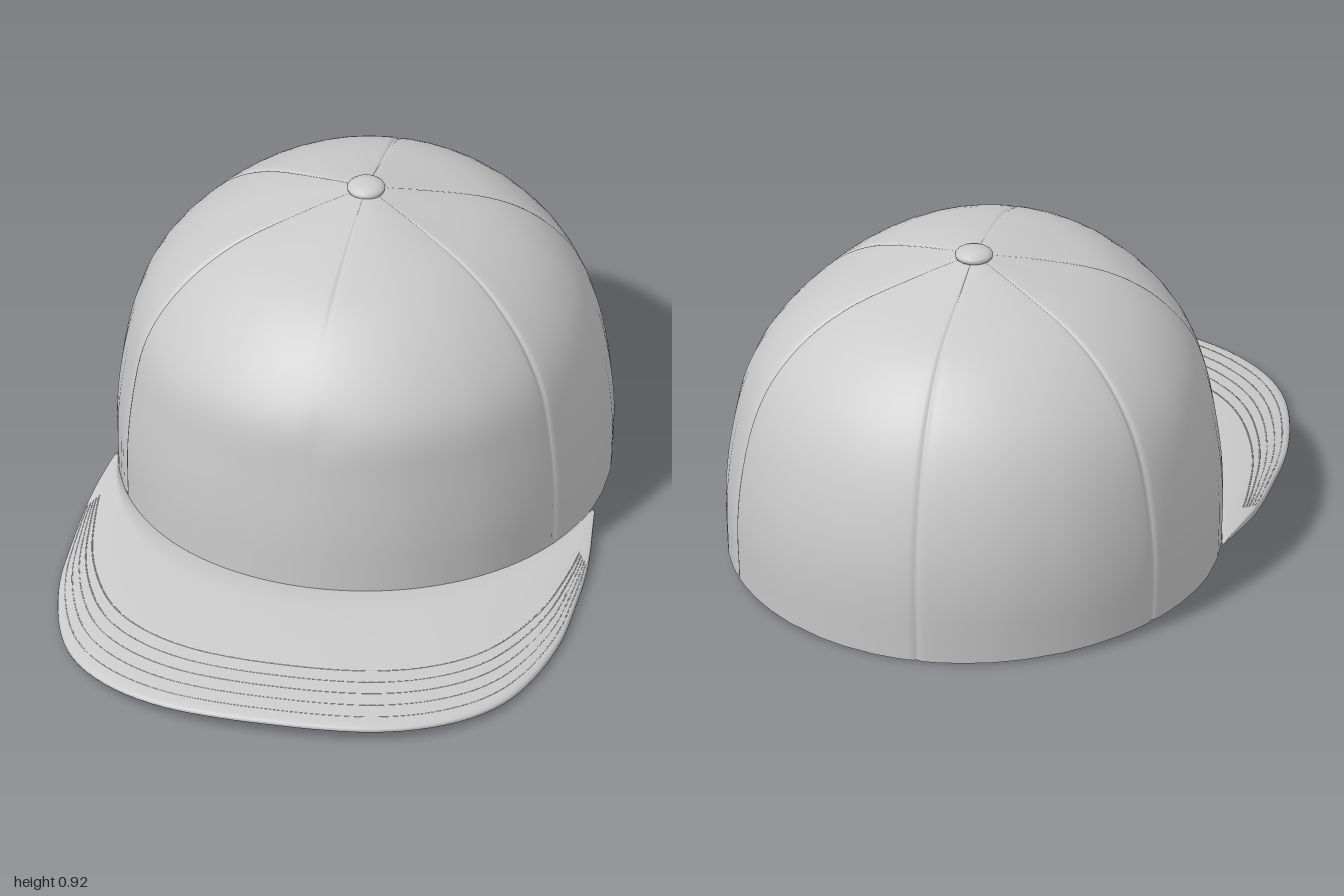
import * as THREE from 'three';
import { mergeVertices } from 'three/addons/utils/BufferGeometryUtils.js';

const APEX_Z = -0.32;
const curve = (pts) => new THREE.CatmullRomCurve3(pts.map(([a, b, c = 0]) => new THREE.Vector3(a, b, c)));

// Crown profiles from rim to apex: [radius, height]
const FRONT = curve([[0.725, 0.08], [0.725, 0.25], [0.715, 0.42], [0.7, 0.56], [0.66, 0.64], [0.57, 0.74], [0.45, 0.82], [0.24, 0.872], [0, 0.9]]);
const SIDE = curve([[0.66, 0.037], [0.662, 0.2], [0.645, 0.36], [0.61, 0.51], [0.56, 0.61], [0.47, 0.71], [0.345, 0.79], [0.18, 0.85], [0, 0.9]]);
const BACK = curve([[0.66, 0.004], [0.675, 0.2], [0.665, 0.35], [0.62, 0.52], [0.55, 0.65], [0.44, 0.76], [0.35, 0.808], [0.15, 0.862], [0, 0.9]]);

// Outer edge of the brim, seen from above: [x, 0, z], left half mirrored
const HALF = [[0.655, -0.18], [0.685, 0.05], [0.69, 0.25], [0.685, 0.42], [0.65, 0.6], [0.6, 0.73], [0.53, 0.825], [0.42, 0.91], [0.29, 0.965], [0.14, 0.99]];
const EDGE = curve([
  ...HALF.map(([x, z]) => [-x, 0, z]), [0, 0, 0.995],
  ...HALF.slice().reverse().map(([x, z]) => [x, 0, z]),
]);

// Smooth surface through a grid of points
function gridSurface(us, vs, point) {
  const pos = [], index = [], n = vs.length;
  us.forEach((u) => vs.forEach((v) => pos.push(...point(u, v).toArray())));
  for (let i = 0; i < us.length - 1; i++) {
    for (let j = 0; j < n - 1; j++) {
      const a = i * n + j, b = a + n;
      index.push(a, b, b + 1, a, b + 1, a + 1);
    }
  }
  let geo = new THREE.BufferGeometry();
  geo.setAttribute('position', new THREE.Float32BufferAttribute(pos, 3));
  geo.setIndex(index);
  geo = mergeVertices(geo, 1e-5);
  geo.computeVertexNormals();
  return geo;
}

// Point on the crown without seams; angle 0 is the front, t runs rim to apex
function crownBase(angle, t) {
  const c = Math.cos(angle), s = Math.sin(angle);
  const p = SIDE.getPoint(t).multiplyScalar(s * s);
  p.addScaledVector((c > 0 ? FRONT : BACK).getPoint(t), c * c);
  return new THREE.Vector3(p.x * s, p.y, APEX_Z + p.x * c);
}

// Six panels: a narrow groove on every seam and a faint bulge between them
function crownPoint(k, t) {
  const panel = Math.round(k), f = Math.abs(k - panel);
  const p = crownBase((k * Math.PI) / 3, t);
  let groove = 0.009 * Math.exp(-((f / 0.014) ** 2));
  if (panel % 6 === 0) groove *= THREE.MathUtils.smoothstep(t, 0.66, 0.8); // plain front panel
  const bulge = 0.008 * Math.sin(Math.PI * f) * Math.sin(Math.PI * t);
  const dent = 0.01 * Math.exp(-(((p.x - 0.03) / 0.05) ** 2) - ((p.y - 0.56) / 0.07) ** 2) * (p.z > 0 ? 1 : 0);
  const scale = 1 + bulge - groove - dent;
  p.x *= scale;
  p.z = APEX_Z + (p.z - APEX_Z) * scale;
  p.y -= groove * 0.6 * t * (1 - t) * 4;
  return p;
}

// Middle layer of the brim: u runs right to left, v from crown to outer edge
function brimMid(u, v) {
  const inner = crownBase(u * 1.36, 0);
  const outer = EDGE.getPointAt((u + 1) / 2);
  outer.y = 0.047 - 0.034 * (outer.x / 0.69) ** 2 + 0.018 * THREE.MathUtils.smoothstep(Math.abs(u), 0.78, 1);
  inner.y -= 0.004;
  const p = inner.lerp(outer, v);
  p.y += 0.01 * Math.sin(Math.PI * v) * (1 - u * u);
  return p;
}
const brimHalf = (u) => 0.01 * Math.sqrt(Math.min(1, (1 - Math.abs(u)) * 8));

export function createModel() {
  const group = new THREE.Group();
  const mat = new THREE.MeshStandardMaterial({ color: 0xcccccc, side: THREE.DoubleSide });
  const add = (geo, name, parent = group) => {
    const mesh = new THREE.Mesh(geo, mat);
    mesh.name = name;
    parent.add(mesh);
    return mesh;
  };

  // Crown: samples crowd around the seams
  const steps = [0, 0.008, 0.016, 0.03, 0.08, 0.18, 0.3, 0.42, 0.58, 0.7, 0.82, 0.92, 0.97, 0.984, 0.992];
  const ks = [];
  for (let i = 0; i < 6; i++) steps.forEach((s) => ks.push(i + s));
  ks.push(6);
  const ts = Array.from({ length: 41 }, (_, i) => i / 40);
  add(gridSurface(ks, ts, crownPoint), 'crown');

  // Brim: closed section with a rounded lip, [v, offset]
  const top = [[1, 0], [0.995, 0.55], [0.98, 0.85], [0.95, 1], [0.85, 1], [0.7, 1], [0.5, 1], [0.3, 1], [0.15, 1], [0, 1]];
  const section = [...top, ...top.slice().reverse().map(([v, o]) => [v, -o])];
  const us = Array.from({ length: 97 }, (_, i) => Math.sin(((i / 48 - 1) * Math.PI) / 2) * 0.4 + (i / 48 - 1) * 0.6);
  add(gridSurface(us, section, (u, [v, o]) => {
    const p = brimMid(u, v);
    p.y += o * brimHalf(u);
    return p;
  }), 'brim');

  // Rows of stitching, barely raised from the brim
  const stitching = new THREE.Group();
  stitching.name = 'brimStitching';
  group.add(stitching);
  for (const v of [0.6, 0.68, 0.76, 0.84, 0.92]) {
    const path = [];
    for (let i = 0; i <= 40; i++) {
      const u = (i / 20 - 1) * 0.84;
      const p = brimMid(u, v);
      p.y += brimHalf(u) - 0.001;
      path.push(p);
    }
    add(new THREE.TubeGeometry(new THREE.CatmullRomCurve3(path), 100, 0.002, 5), 'stitchRow', stitching);
  }

  // Button on the apex
  const button = add(new THREE.SphereGeometry(0.052, 16, 10), 'button');
  button.scale.y = 0.4;
  button.position.set(0, 0.899, APEX_Z);

  return group;
}
